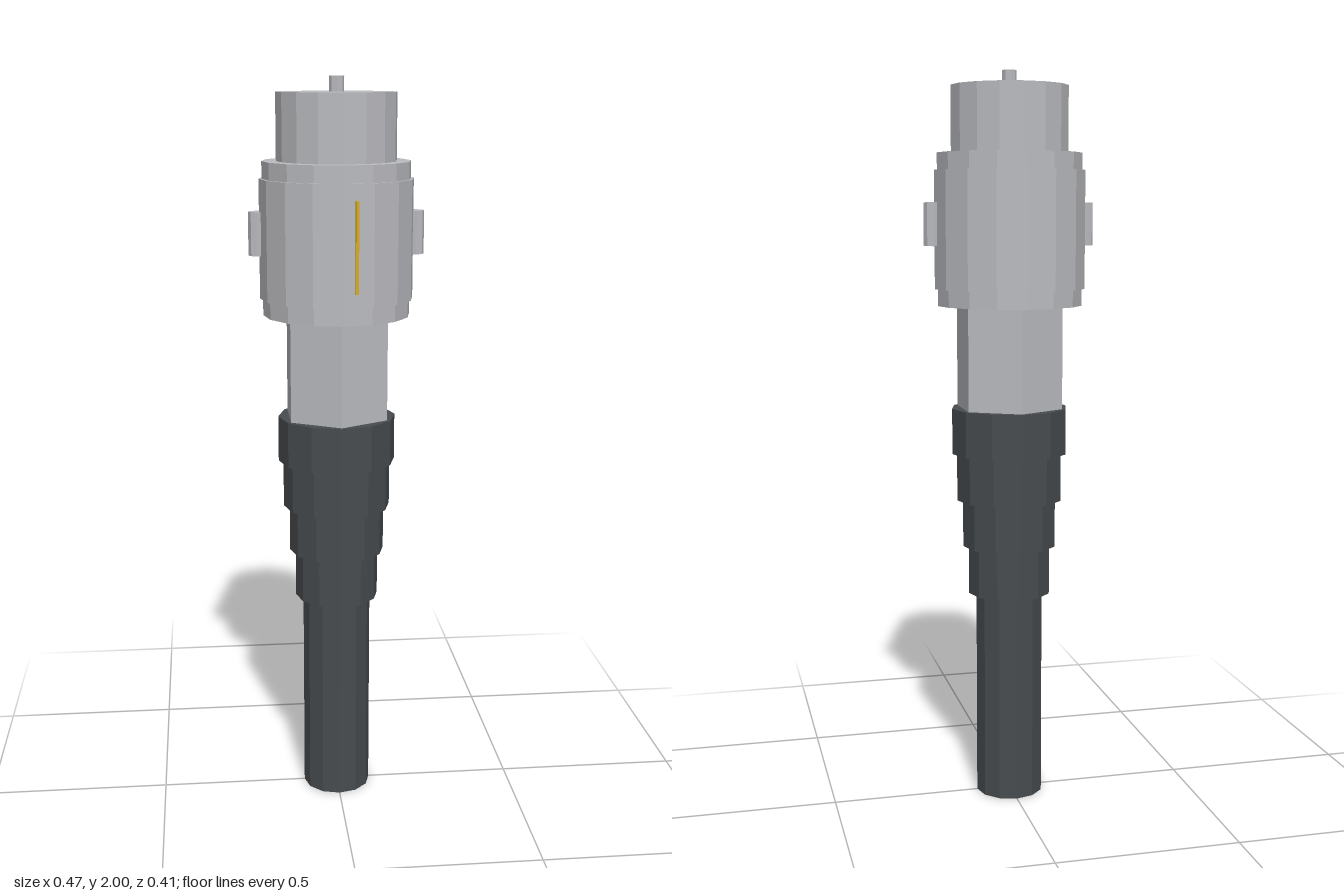
import * as THREE from 'three';

function material(name, hex, side = THREE.FrontSide) {
  const m = new THREE.MeshStandardMaterial({ color: hex, flatShading: true, side });
  m.name = name;
  return m;
}

export function createModel() {
  const model = new THREE.Group();
  model.name = 'cableConnector';
  const metal = material('light grey metal', 0xbabbbf);
  const rubber = material('dark grey rubber', 0x484c4f);
  const yellow = material('yellow mark', 0xd9ab1c);

  // upright prism between two heights
  const prism = (name, mat, radius, bottom, top, sides, x = 0) => {
    const geometry = new THREE.CylinderGeometry(radius, radius, top - bottom, sides);
    const mesh = new THREE.Mesh(geometry, mat);
    mesh.name = name;
    mesh.position.set(x, (bottom + top) / 2, 0);
    model.add(mesh);
    return mesh;
  };

  // cable and stepped strain relief
  prism('cable', rubber, 0.094, 0, 0.6, 12);
  const steps = [[0.115, 0.58, 0.715], [0.131, 0.715, 0.845], [0.147, 0.845, 0.975], [0.16, 0.975, 1.1]];
  steps.forEach(([r, y0, y1], i) => prism('strainRelief' + (i + 1), rubber, r, y0, y1, 12));

  // hexagonal neck, coupling barrel, raised grip sleeve and plug
  prism('hexNeck', metal, 0.15, 1.09, 1.385, 6);
  prism('couplingBarrel', metal, 0.197, 1.38, 1.785, 16);
  prism('gripSleeve', metal, 0.205, 1.425, 1.74, 16);
  prism('plug', metal, 0.159, 1.78, 1.96, 16);
  prism('centrePin', metal, 0.02, 1.95, 2, 8);

  // bayonet lugs on both sides
  for (const s of [1, -1]) prism(s > 0 ? 'leftLug' : 'rightLug', metal, 0.023, 1.54, 1.655, 8, s * 0.211);

  // alignment mark on the front of the sleeve
  const mark = new THREE.Mesh(new THREE.BoxGeometry(0.008, 0.235, 0.008), yellow);
  mark.name = 'alignmentMark';
  mark.position.set(0.033, 1.58, 0.2);
  mark.rotation.y = Math.PI / 16;
  model.add(mark);

  return model;
}
